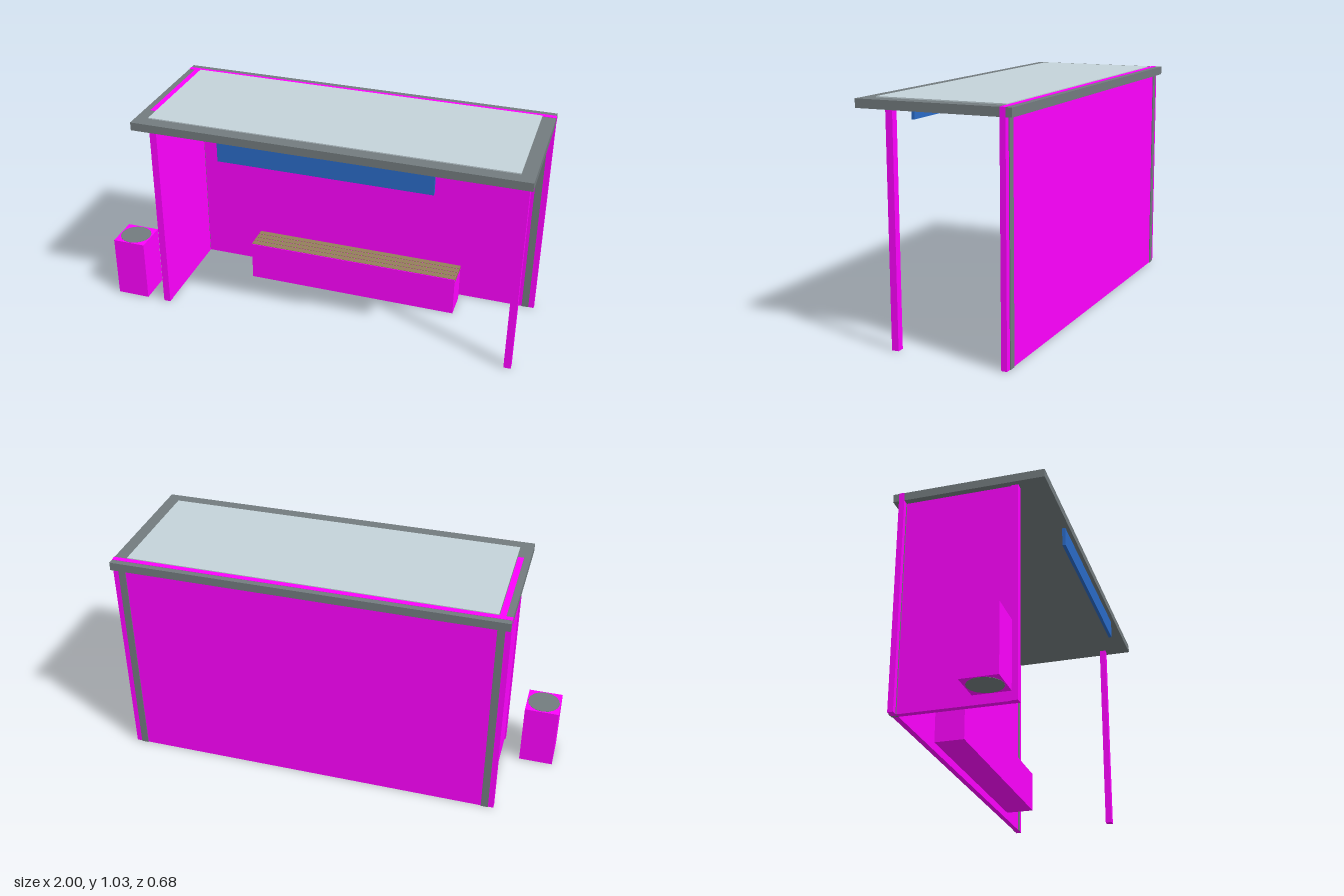
import * as THREE from 'three';

const material = (color) => new THREE.MeshStandardMaterial({ color });

export function createModel() {
  const shelter = new THREE.Group();
  shelter.name = 'busShelter';
  const magenta = material(0xff00ff);
  const steel = material(0x737c7f);
  const glass = material(0xc4d3d9);
  const blue = material(0x2a6bc8);
  const wood = material(0x94805a);

  // Box given by its extents on each axis
  function block(name, mat, [x0, x1], [y0, y1], [z0, z1], parent = shelter) {
    const mesh = new THREE.Mesh(new THREE.BoxGeometry(x1 - x0, y1 - y0, z1 - z0), mat);
    mesh.position.set((x0 + x1) / 2, (y0 + y1) / 2, (z0 + z1) / 2);
    mesh.name = name;
    parent.add(mesh);
    return mesh;
  }

  // Roof slab with a slightly raised pale panel
  block('roofFrame', steel, [-0.779, 0.999], [0.992, 1.03], [-0.342, 0.342]);
  block('roofPanel', glass, [-0.72, 0.938], [1.0, 1.035], [-0.29, 0.282]);

  // Walls, reaching just through the roof frame
  block('backWall', magenta, [-0.78, 1], [0, 1.031], [-0.315, -0.29]);
  block('sideWall', magenta, [-0.75, -0.723], [0, 1.031], [-0.29, 0.2]);

  // Corner posts: coloured at the front, steel at the back
  for (const x of [-0.755, 0.941]) {
    block('frontPost', magenta, [x, x + 0.033], [0, 0.993], [0.188, 0.219]);
    block('backPost', steel, [x, x + 0.033], [0, 0.993], [-0.319, -0.288]);
  }

  // Fascia sign hung under the front edge of the roof
  block('signBoard', blue, [-0.375, 0.595], [0.896, 0.985], [0.312, 0.327]);

  // Bench: solid base with four seat slats
  const bench = new THREE.Group();
  bench.name = 'bench';
  shelter.add(bench);
  block('benchBase', magenta, [-0.414, 0.63], [0, 0.194], [-0.254, -0.12], bench);
  for (let i = 0; i < 4; i++) {
    const z = -0.252 + i * 0.033;
    block('benchSlat', wood, [-0.415, 0.631], [0.18, 0.196], [z, z + 0.029], bench);
  }

  // Litter bin with a round liner
  const bin = new THREE.Group();
  bin.name = 'litterBin';
  shelter.add(bin);
  block('binCasing', magenta, [-1, -0.842], [0.001, 0.304], [0.06, 0.22], bin);
  const liner = new THREE.Mesh(new THREE.CylinderGeometry(0.075, 0.075, 0.305, 16), steel);
  liner.name = 'binLiner';
  liner.position.set(-0.921, 0.1525, 0.14);
  bin.add(liner);

  return shelter;
}
